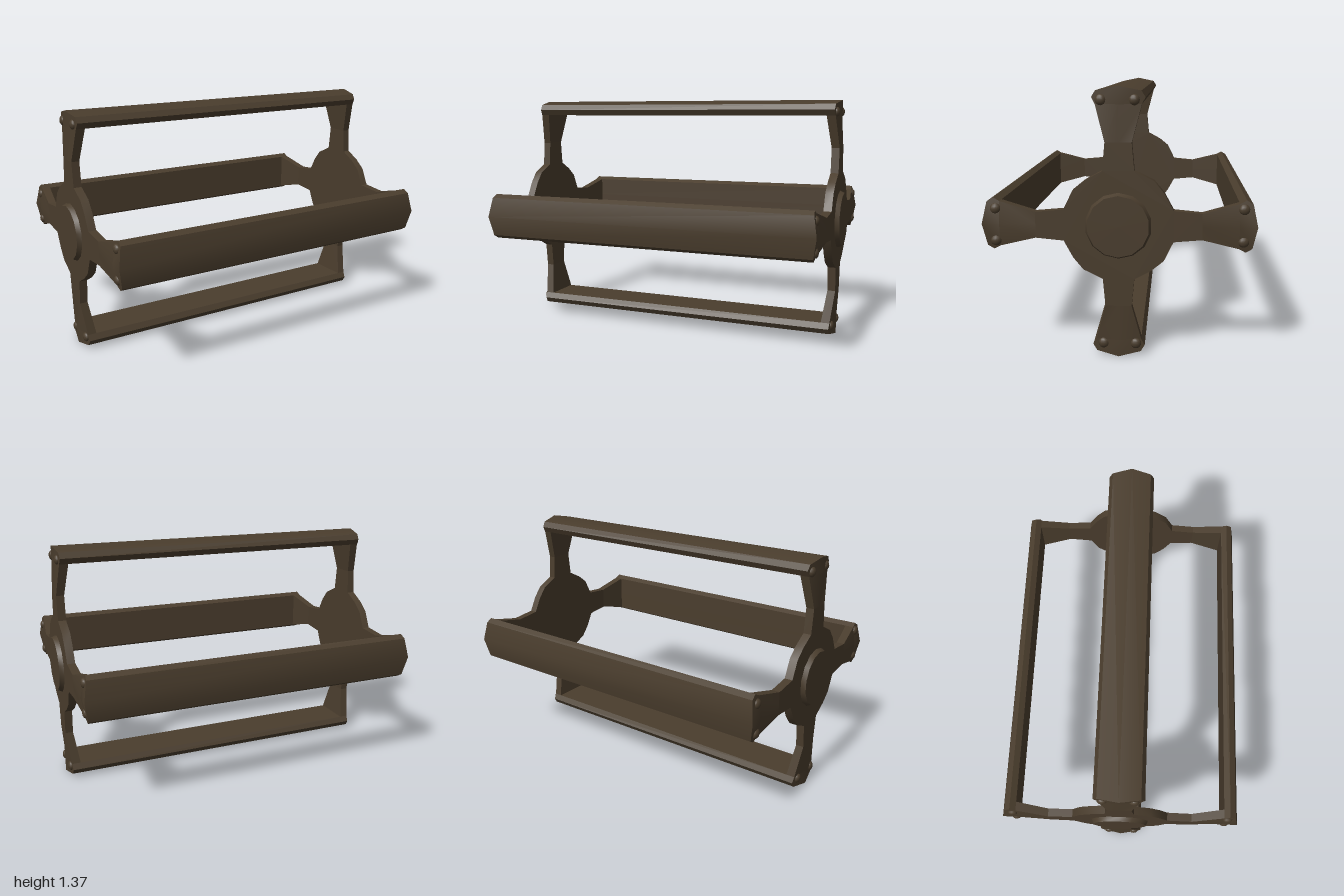
import * as THREE from 'three';
import { mergeGeometries, toCreasedNormals } from 'three/addons/utils/BufferGeometryUtils.js';

const CREASE = 0.5;
const END = 0.975; // outer face of the end plates

// Extrude a (u across, v outward) outline along the x axis.
// bend(u, v, outer) returns the x of each vertex on the outer or inner side.
function extrudeX(points, bend) {
  const shape = new THREE.Shape(points.map(([u, v]) => new THREE.Vector2(u, v)));
  const geo = new THREE.ExtrudeGeometry(shape, { depth: 1, bevelEnabled: false });
  const p = geo.attributes.position;
  for (let i = 0; i < p.count; i++) {
    p.setZ(i, bend(p.getX(i), p.getY(i), p.getZ(i) > 0.5));
  }
  return geo.rotateY(Math.PI / 2);
}

// Two mirrored halves joined along u = 0, so the crown ridge stays clean.
function mirrored(points, bend) {
  const halves = [1, -1].map((s) => extrudeX(points.map(([u, v]) => [s * u, v]), bend));
  return toCreasedNormals(mergeGeometries(halves), CREASE);
}

export function createModel() {
  const model = new THREE.Group();
  model.name = 'spokedFrame';
  const body = new THREE.Group();
  body.name = 'frameBody';
  body.position.y = 0.685;
  model.add(body);

  const bronze = new THREE.MeshStandardMaterial({ color: 0x4a3d2d });
  bronze.name = 'dark bronze';
  const add = (parent, name, geo) => {
    const mesh = new THREE.Mesh(geo, bronze);
    mesh.name = name;
    parent.add(mesh);
    return mesh;
  };

  // Hub plate outline with four necks
  const quarter = [[-0.079, 0.273], [-0.066, 0.414], [0.066, 0.414],
    [0.079, 0.273], [0.176, 0.226], [0.227, 0.164]];
  const outline = [];
  for (let k = 0; k < 4; k++) {
    const c = Math.cos(k * Math.PI / 2), s = Math.sin(k * Math.PI / 2);
    for (const [u, v] of quarter) outline.push([u * c + v * s, v * c - u * s]);
  }
  const plateGeo = toCreasedNormals(extrudeX(outline, (u, v, outer) => (outer ? END : 0.93)), CREASE);

  // Round boss on the outside of the hub
  const bossGeo = toCreasedNormals(
    new THREE.CylinderGeometry(0.155, 0.169, 0.03, 14)
      .rotateY(Math.PI / 2).rotateZ(-Math.PI / 2).translate(0.985, 0, 0), CREASE);

  // Flared arm end, crowned outside and thickening inward
  const crown = (u) => END - 0.02 * Math.abs(u) / 0.114;
  const flareGeo = mirrored([[0, 0.414], [0.066, 0.414], [0.114, 0.597], [0, 0.597]], (u, v, outer) => {
    const t = (v - 0.414) / 0.183;
    return outer ? END + (crown(u) - END) * t : 0.93 - 0.025 * t;
  });

  // Long bar joining both ends
  const barGeo = mirrored([[0, 0.597], [0.114, 0.597], [0.132, 0.63], [0.112, 0.662], [0, 0.685]],
    (u, v, outer) => (outer ? crown(u) : -crown(u)));

  const rivetGeo = new THREE.SphereGeometry(0.028, 12, 8).scale(0.7, 1, 1);

  // End plates, one turned around to face the other way
  for (const [name, turn] of [['leftEnd', 0], ['rightEnd', Math.PI]]) {
    const end = new THREE.Group();
    end.name = name;
    end.rotation.y = turn;
    body.add(end);
    add(end, 'hubPlate', plateGeo);
    add(end, 'hubBoss', bossGeo);
    for (let k = 0; k < 4; k++) {
      const arm = new THREE.Group();
      arm.name = 'arm';
      arm.rotation.x = k * Math.PI / 2;
      end.add(arm);
      add(arm, 'armFlare', flareGeo);
      for (const z of [0.086, -0.077]) add(arm, 'rivet', rivetGeo).position.set(0.956, 0.618, z);
    }
  }

  // Four bars around the axis
  for (let k = 0; k < 4; k++) add(body, 'longBar', barGeo).rotation.x = k * Math.PI / 2;

  return model;
}
